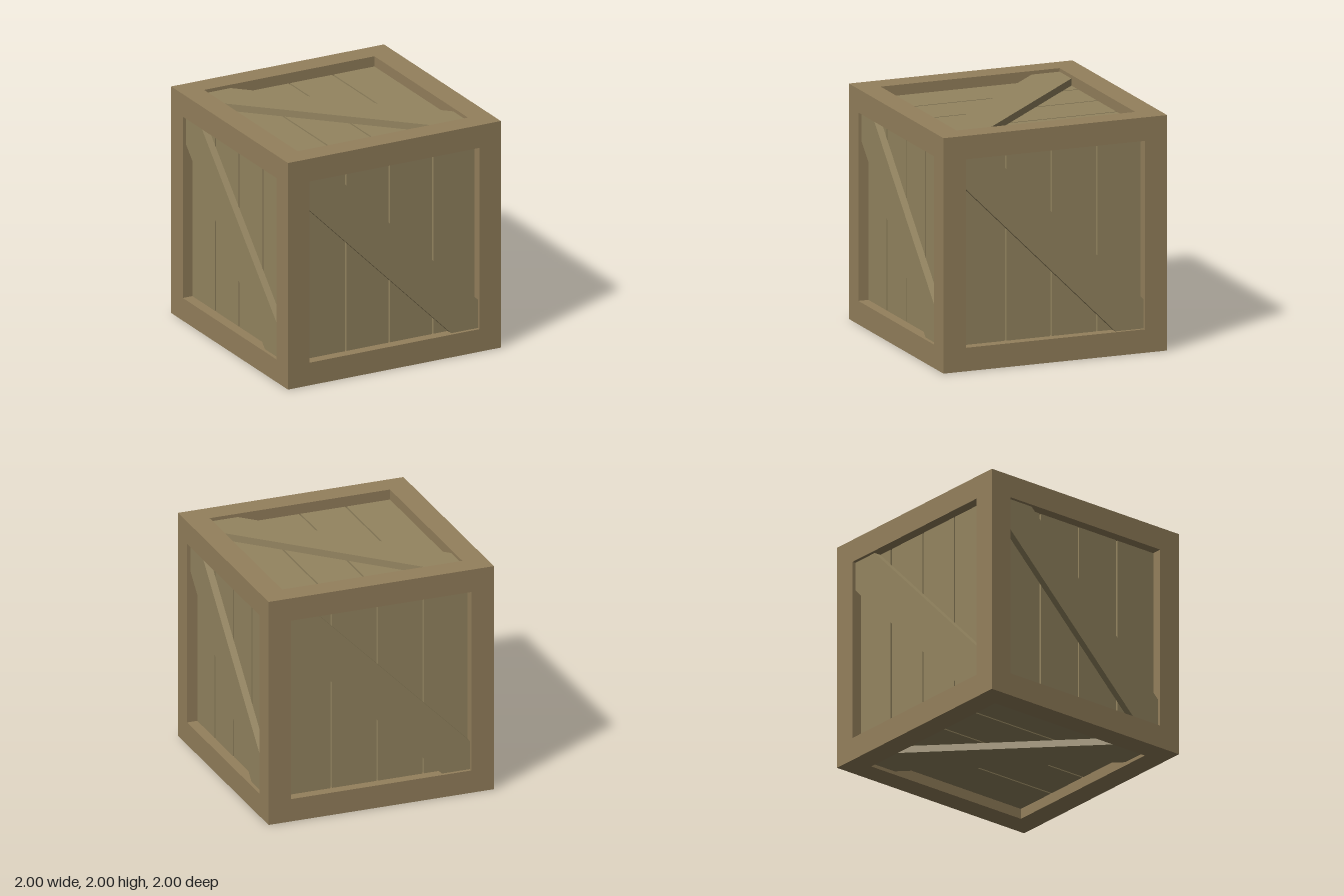
import * as THREE from 'three';
import { mergeGeometries } from 'three/addons/utils/BufferGeometryUtils.js';

const OUTER = 1, INNER = 0.8;         // half sizes of the crate and of the frame opening
const PANEL = 0.09, BRACE = 0.03;     // how far planks and brace sit below the frame
const SEAM = 0.015, GROOVE = 0.03;    // gap between planks and its depth

const frameWood = new THREE.MeshStandardMaterial({ color: 0x94805c });
const plankWood = new THREE.MeshStandardMaterial({ color: 0x948560 });

function polygon(points) {
  return new THREE.Shape(points.map(([x, y]) => new THREE.Vector2(x, y)));
}

function square(h) {
  return polygon([[-h, -h], [h, -h], [h, h], [-h, h]]);
}

function mesh(name, geometry, material) {
  const m = new THREE.Mesh(geometry, material);
  m.name = name;
  return m;
}

// Square frame face with the four inner walls of its opening
function frameGeometry() {
  const face = square(OUTER);
  face.holes.push(square(INNER));
  const parts = [new THREE.ShapeGeometry(face).translate(0, 0, OUTER)];
  const depth = PANEL + GROOVE;
  for (let i = 0; i < 4; i++) {
    parts.push(new THREE.PlaneGeometry(2 * INNER, depth)
      .rotateX(-Math.PI / 2)
      .translate(0, -INNER, OUTER - depth / 2)
      .rotateZ(i * Math.PI / 2));
  }
  return mergeGeometries(parts);
}

// Four upright planks with narrow seams between them
function plankGeometry() {
  const pitch = 0.408, parts = [];
  for (let i = 0; i < 4; i++) {
    const left = i === 0 ? -INNER : (i - 2) * pitch + SEAM / 2;
    const right = i === 3 ? INNER : (i - 1) * pitch - SEAM / 2;
    parts.push(new THREE.BoxGeometry(right - left, 2 * INNER, GROOVE)
      .translate((left + right) / 2, 0, OUTER - PANEL - GROOVE / 2));
  }
  return mergeGeometries(parts);
}

// Diagonal board, its ends cut to fit the corners of the opening
function braceGeometry() {
  const a = INNER, b = 0.55;
  const outline = polygon([[-a, a], [-a, b], [b, -a], [a, -a], [a, -b], [-b, a]]);
  return new THREE.ExtrudeGeometry(outline, { depth: PANEL - BRACE, bevelEnabled: false })
    .translate(0, 0, OUTER - PANEL);
}

export function createModel() {
  const crate = new THREE.Group();
  crate.name = 'crate';
  const frame = frameGeometry(), planks = plankGeometry(), brace = braceGeometry();

  // The same side turned to face each of the six directions
  const sides = [
    ['front', 0, 0], ['left', 0, Math.PI / 2], ['back', 0, Math.PI], ['right', 0, -Math.PI / 2],
    ['top', -Math.PI / 2, 0], ['bottom', Math.PI / 2, 0],
  ];
  for (const [name, rx, ry] of sides) {
    const side = new THREE.Group();
    side.name = name + 'Side';
    side.rotation.set(rx, ry, 0);
    side.position.y = OUTER;
    side.add(
      mesh('frame', frame, frameWood),
      mesh('planks', planks, plankWood),
      mesh('brace', brace, plankWood),
    );
    crate.add(side);
  }

  // Solid core closing the seams from behind
  const size = 2 * (OUTER - PANEL - GROOVE);
  const core = mesh('core', new THREE.BoxGeometry(size, size, size), plankWood);
  core.position.y = OUTER;
  crate.add(core);
  return crate;
}
